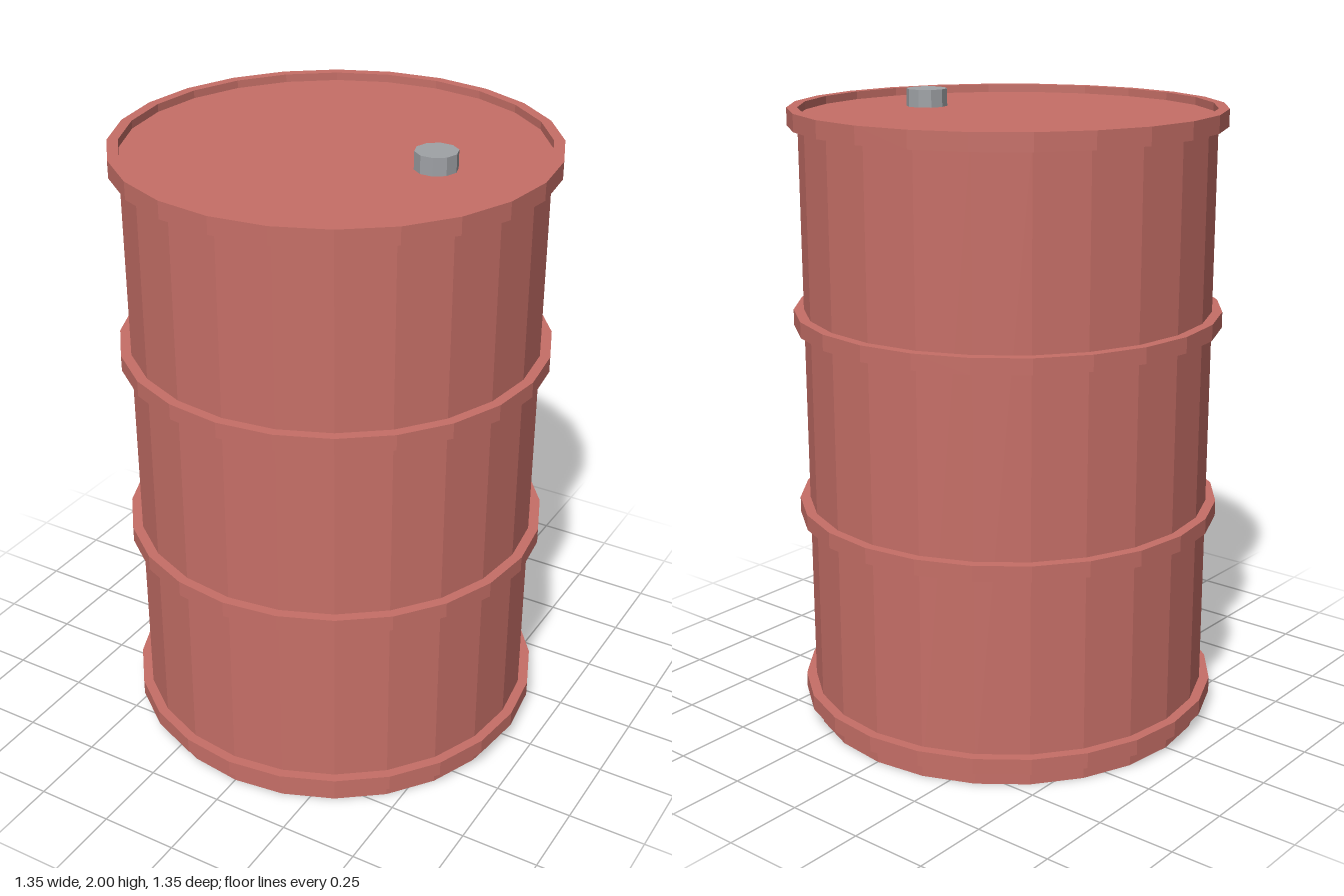
import * as THREE from 'three';

export function createModel() {
  const drum = new THREE.Group();
  drum.name = 'drum';

  const paint = new THREE.MeshStandardMaterial({ color: 0xc66f67, flatShading: true });
  paint.name = 'red paint';
  const steel = new THREE.MeshStandardMaterial({ color: 0x9fa2a6, flatShading: true });
  steel.name = 'grey steel';

  const SIDES = 24, BODY_R = 0.643, RING_R = 0.675, LID_Y = 1.945;

  const add = (name, geometry, material, x, y) => {
    const mesh = new THREE.Mesh(geometry, material);
    mesh.name = name;
    mesh.position.set(x, y, 0);
    drum.add(mesh);
    return mesh;
  };

  // Closed body; its top is the lid, sunk below the upper rim
  add('body', new THREE.CylinderGeometry(BODY_R, BODY_R, LID_Y, SIDES), paint, 0, LID_Y / 2);

  // Square-section hoop, profile running bottom to top on the outside
  const hoop = (height) => {
    const h = height / 2, inner = BODY_R - 0.001;
    const profile = [[inner, -h], [RING_R, -h], [RING_R, h], [inner, h], [inner, -h]];
    return new THREE.LatheGeometry(profile.map(([r, y]) => new THREE.Vector2(r, y)), SIDES);
  };
  ['bottomHoop', 'lowerHoop', 'upperHoop'].forEach((name, i) => {
    add(name, hoop(0.05), paint, 0, 0.075 + i * 0.622);
  });
  add('topRim', hoop(0.054), paint, 0, 1.943);

  // Filler cap on the lid
  const cap = add('fillerCap', new THREE.CylinderGeometry(0.065, 0.065, 0.06, 10), steel, 0.333, 1.97);
  cap.rotation.y = Math.PI / 2;

  return drum;
}
